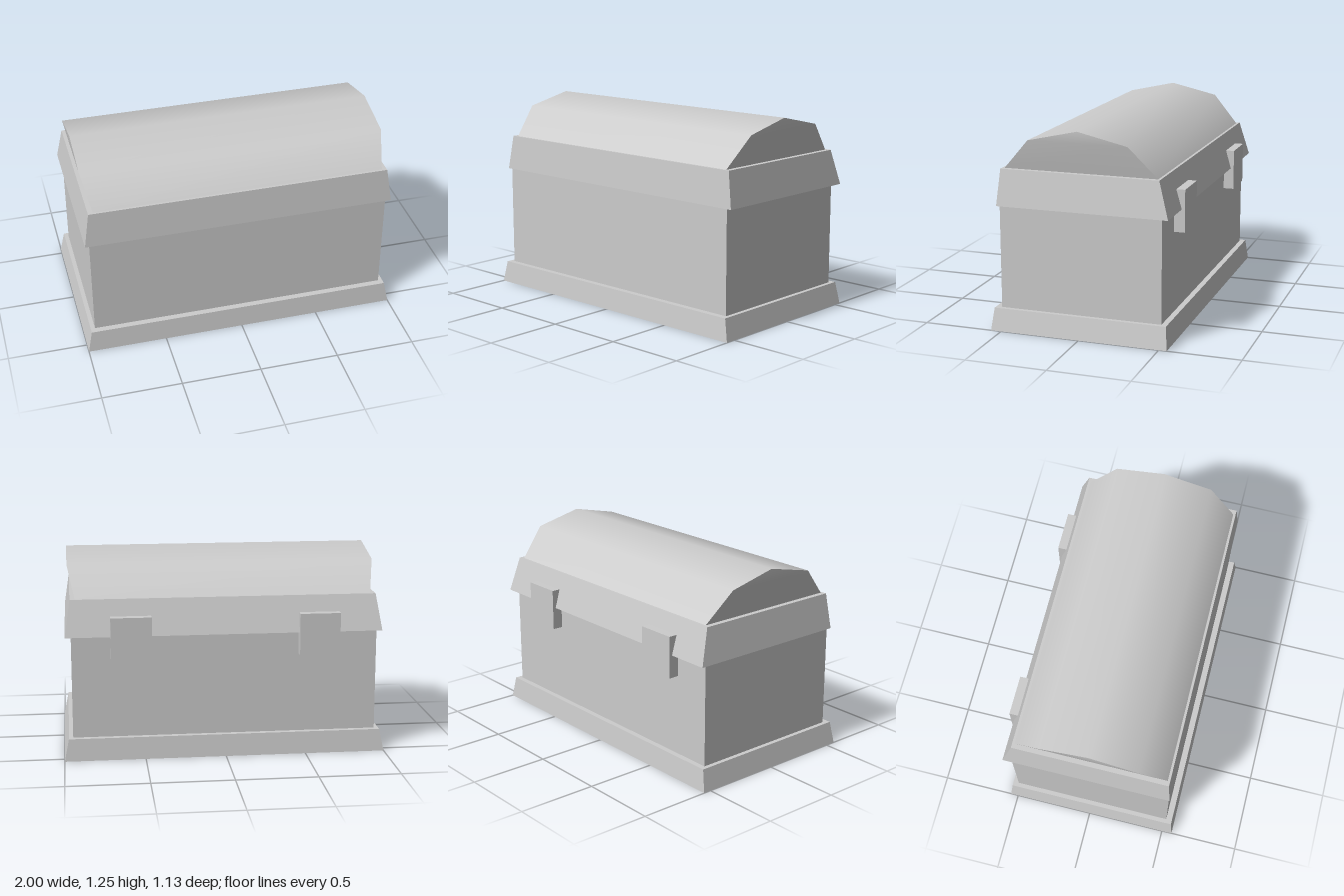
import * as THREE from 'three';

const material = new THREE.MeshStandardMaterial({ color: 0xcccccc });
const openMaterial = new THREE.MeshStandardMaterial({ color: 0xcccccc, side: THREE.DoubleSide });

// Box whose bottom and top rectangles differ: each is { y, x: half width, back, front }
function taperedBox(bottom, top, openBottom = false) {
  const geo = new THREE.BoxGeometry(1, 1, 1);
  const p = geo.attributes.position;
  for (let i = 0; i < p.count; i++) {
    const r = p.getY(i) > 0 ? top : bottom;
    p.setXYZ(i, Math.sign(p.getX(i)) * r.x, r.y, p.getZ(i) > 0 ? r.front : r.back);
  }
  if (openBottom) {
    const idx = Array.from(geo.index.array);
    idx.splice(18, 6); // the downward face
    geo.setIndex(idx);
    geo.clearGroups();
  }
  geo.computeVertexNormals();
  return geo;
}

// Indexed surface with smooth normals
function surface(points, index) {
  const geo = new THREE.BufferGeometry();
  geo.setAttribute('position', new THREE.Float32BufferAttribute(points.flat(), 3));
  geo.setIndex(index);
  geo.computeVertexNormals();
  return geo;
}

export function createModel() {
  const chest = new THREE.Group();
  chest.name = 'chest';
  const add = (name, geo, mat = material, parent = chest) => {
    const mesh = new THREE.Mesh(geo, mat);
    mesh.name = name;
    parent.add(mesh);
    return mesh;
  };

  // Flared plinth, hollow underneath
  add('plinth', taperedBox(
    { y: 0, x: 1, back: -0.55, front: 0.566 },
    { y: 0.138, x: 0.972, back: -0.535, front: 0.551 }, true), openMaterial);

  // Floor slab recessed inside the plinth
  add('floor', taperedBox(
    { y: 0.073, x: 0.893, back: -0.465, front: 0.463 },
    { y: 0.138, x: 0.893, back: -0.465, front: 0.463 }));

  // Straight body
  add('body', taperedBox(
    { y: 0.138, x: 0.945, back: -0.5, front: 0.513 },
    { y: 0.778, x: 0.945, back: -0.5, front: 0.513 }));

  // Lid, sitting slightly to the left of the body
  const lid = new THREE.Group();
  lid.name = 'lid';
  lid.position.x = 0.005;
  chest.add(lid);

  // Sloping band around the lid
  add('lidBand', taperedBox(
    { y: 0.778, x: 0.976, back: -0.547, front: 0.52 },
    { y: 1, x: 0.942, back: -0.483, front: 0.502 }), material, lid);

  // Dome: arch profile from front to back as [half width, y, z]
  const left = [
    [0.911, 1, 0.487], [0.955, 1.185, 0.319], [0.955, 1.255, 0.01],
    [0.955, 1.185, -0.298], [0.911, 1, -0.467],
  ];
  const right = left.map(([x, y, z]) => [-x, y, z]);
  const n = left.length;

  // Smooth curved roof, with the same normals at both ends of each line
  const roofIndex = [];
  for (let i = 0; i < n - 1; i++) {
    roofIndex.push(n + i, i, i + 1, n + i, i + 1, n + i + 1);
  }
  const roof = surface([...left, ...right], roofIndex);
  const normals = roof.attributes.normal;
  for (let i = 0; i < n; i++) {
    const y = normals.getY(i) + normals.getY(n + i);
    const z = normals.getZ(i) + normals.getZ(n + i);
    const length = Math.hypot(y, z);
    for (const k of [i, n + i]) normals.setXYZ(k, 0, y / length, z / length);
  }
  add('lidRoof', roof, material, lid);

  // Ends, symmetric about the ridge
  const endIndex = [0, 4, 3, 0, 3, 1, 1, 3, 2];
  add('lidEndLeft', surface(left, endIndex), material, lid);
  add('lidEndRight', surface(right, [...endIndex].reverse()), material, lid);

  // Two hinge plates on the back
  for (const side of [-1, 1]) {
    const hinge = add(side > 0 ? 'hingeLeft' : 'hingeRight', new THREE.BoxGeometry(0.25, 0.26, 0.067));
    hinge.position.set(side * 0.58 + 0.001, 0.768, -0.5335);
  }

  return chest;
}
